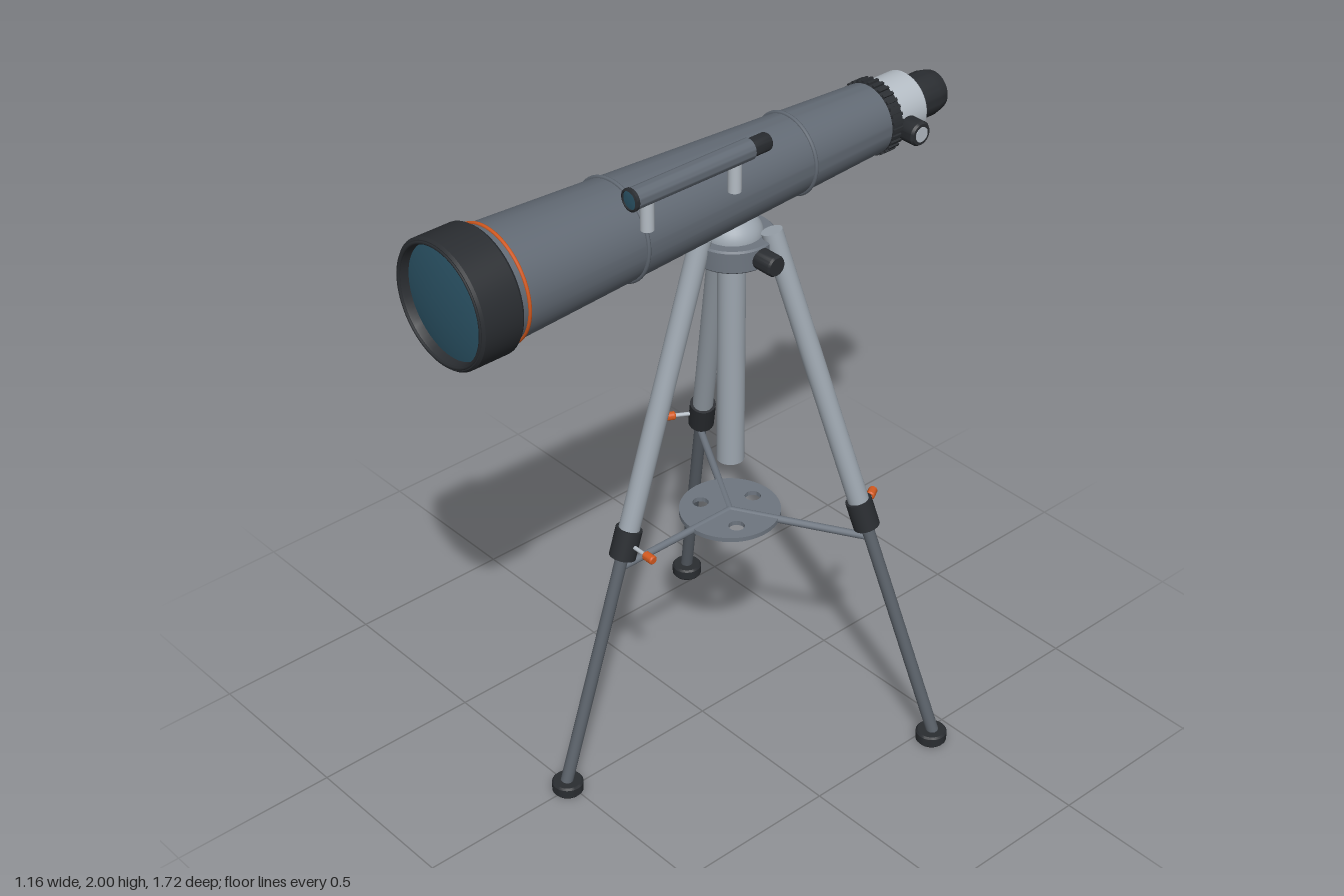
import * as THREE from 'three';
import { toCreasedNormals } from 'three/addons/utils/BufferGeometryUtils.js';

const mat = (color) => new THREE.MeshStandardMaterial({ color });
const M = {
  tube: mat(0x626a74), black: mat(0x2a2d31), silver: mat(0xb4bcc4), leg: mat(0x9da6af),
  lower: mat(0x5b626a), mount: mat(0x6e7680), orange: mat(0xd2591f), glass: mat(0x2c5568),
};
const AXIS_Y = 1.761, PIVOT_Z = -0.105;

export function createModel() {
  const model = new THREE.Group();

  const add = (parent, name, geometry, material, x = 0, y = 0, z = 0) => {
    const mesh = new THREE.Mesh(geometry, material);
    mesh.name = name;
    mesh.position.set(x, y, z);
    parent.add(mesh);
    return mesh;
  };
  const group = (name, parent = model) => {
    const g = new THREE.Group();
    g.name = name;
    parent.add(g);
    return g;
  };
  // Turned part from [radius, height] pairs, listed bottom to top
  const turned = (points, segments = 48) => toCreasedNormals(
    new THREE.LatheGeometry(points.map(([r, h]) => new THREE.Vector2(r, h)), segments), 0.6);
  const turnedZ = (points, segments) => turned(points, segments).rotateX(Math.PI / 2);
  const turnedX = (points, segments) => turned(points, segments).rotateZ(-Math.PI / 2);
  // Straight round bar between two points
  const rod = (parent, name, a, b, radius, material, segments = 24) => {
    const dir = b.clone().sub(a);
    const mesh = add(parent, name, new THREE.CylinderGeometry(radius, radius, dir.length(), segments), material);
    mesh.position.copy(a).addScaledVector(dir, 0.5);
    mesh.quaternion.setFromUnitVectors(new THREE.Vector3(0, 1, 0), dir.normalize());
    return mesh;
  };
  const V = (x, y, z) => new THREE.Vector3(x, y, z);

  // Optical tube, lying along z
  const optics = group('opticalTube');
  optics.position.y = AXIS_Y;
  const tubeRadius = (z) => 0.1 + (z + 0.6) * 0.0435;
  add(optics, 'mainTube', turnedZ([[0, -0.6], [tubeRadius(-0.6), -0.6], [tubeRadius(0.74), 0.74], [0, 0.74]], 64), M.tube);
  add(optics, 'dewCap', turnedZ([[0.13, 0.728], [0.17, 0.728], [0.176, 0.736], [0.176, 0.85], [0.17, 0.857],
    [0.16, 0.857], [0.156, 0.85], [0.156, 0.8]], 64), M.black);
  add(optics, 'lensRing', new THREE.TorusGeometry(0.163, 0.005, 8, 64), M.black, 0, 0, 0.855);
  add(optics, 'objectiveLens', turnedZ([[0.157, 0.83], [0.12, 0.837], [0.06, 0.842], [0, 0.844]], 64), M.glass);
  for (const z of [0.305, -0.3])
    add(optics, 'tubeBand', new THREE.TorusGeometry(tubeRadius(z) + 0.001, 0.006, 8, 64), M.tube, 0, 0, z);
  add(optics, 'accentBand', new THREE.TorusGeometry(tubeRadius(0.7) + 0.001, 0.005, 8, 64), M.orange, 0, 0, 0.7);

  // Focuser with ribbed collar, side knobs and eyepiece
  const focuser = group('focuser', optics);
  add(focuser, 'collar', turnedZ([[0, -0.637], [0.101, -0.637], [0.101, -0.597], [0, -0.597]]), M.black);
  for (let i = 0; i < 32; i++) {
    const a = i / 32 * Math.PI * 2;
    const rib = add(focuser, 'collarRib', new THREE.BoxGeometry(0.012, 0.009, 0.038), M.black,
      0.101 * Math.cos(a), 0.101 * Math.sin(a), -0.617);
    rib.rotation.z = a;
  }
  add(focuser, 'focuserBody', turnedZ([[0, -0.742], [0.088, -0.742], [0.093, -0.736], [0.093, -0.63], [0, -0.63]]), M.silver);
  rod(focuser, 'knobAxle', V(-0.12, -0.016, -0.664), V(0.12, -0.016, -0.664), 0.012, M.silver);
  for (const side of [1, -1]) {
    const knob = group('focusKnob', focuser);
    knob.position.set(0, -0.016, -0.664);
    knob.rotation.y = side > 0 ? 0 : Math.PI;
    add(knob, 'knobGrip', turnedX([[0, 0.09], [0.034, 0.09], [0.036, 0.095], [0.036, 0.138], [0.031, 0.145], [0, 0.145]], 24), M.black);
    add(knob, 'knobCap', turnedX([[0.022, 0.14], [0.022, 0.147], [0, 0.147]], 24), M.silver);
  }
  add(focuser, 'eyepiece', turnedZ([[0.044, -0.85], [0.046, -0.857], [0.056, -0.857], [0.06, -0.845], [0.065, -0.82],
    [0.065, -0.735], [0, -0.735]]), M.black);
  add(focuser, 'eyepieceLens', turnedZ([[0, -0.855], [0.046, -0.852]]), M.glass);

  // Finder scope on two posts
  const finder = group('finderScope');
  finder.position.set(0.202, 1.973, 0);
  add(finder, 'finderTube', turnedZ([[0, 0.025], [0.029, 0.025], [0.029, 0.41], [0, 0.41]], 32), M.tube);
  add(finder, 'finderRim', turnedZ([[0.029, 0.408], [0.031, 0.41], [0.031, 0.418], [0.025, 0.421], [0.025, 0.41]], 32), M.black);
  add(finder, 'finderLens', turnedZ([[0.026, 0.416], [0, 0.419]], 32), M.glass);
  add(finder, 'finderEyepiece', turnedZ([[0, -0.037], [0.022, -0.037], [0.025, -0.032], [0.025, 0.027]], 32), M.black);
  for (const z of [0.335, 0.043])
    rod(finder, 'finderPost', V(-0.032, -0.127, z), V(-0.032, -0.01, z), 0.018, M.silver);

  // Mount head and centre column
  const stand = group('tripod');
  stand.position.z = PIVOT_Z;
  add(stand, 'mountPlate', turned([[0, 1.533], [0.112, 1.533], [0.117, 1.538], [0.117, 1.595], [0.112, 1.6], [0, 1.6]]), M.mount);
  add(stand, 'mountSaddle', new THREE.SphereGeometry(0.085, 40, 12, 0, Math.PI * 2, 0, Math.PI / 2).scale(1, 0.8, 1), M.leg, 0, 1.595, 0);
  add(stand, 'lockKnob', turnedX([[0, 0.1], [0.03, 0.1], [0.03, 0.17], [0.026, 0.176], [0, 0.176]], 24), M.black, 0, 1.565, 0);
  rod(stand, 'centreColumn', V(0, 0.868, 0), V(0, 1.54, 0), 0.039, M.leg, 32);

  // Three identical legs, one facing forward
  const foot = V(0, 0.045, 0.62), top = V(0, 1.62, 0.11);
  const along = (y) => foot.clone().lerp(top, (y - foot.y) / (top.y - foot.y));
  for (let i = 0; i < 3; i++) {
    const leg = group('leg', stand);
    leg.rotation.y = i * Math.PI * 2 / 3;
    rod(leg, 'upperLeg', along(0.77), top, 0.03, M.leg);
    rod(leg, 'lowerLeg', along(0.035), along(0.78), 0.018, M.lower);
    rod(leg, 'legClamp', along(0.722), along(0.805), 0.038, M.black);
    add(leg, 'footPad', turned([[0, 0], [0.04, 0], [0.045, 0.006], [0.045, 0.032], [0.04, 0.038], [0, 0.038]], 32), M.black, 0, 0, 0.62);
    const c = along(0.765);
    rod(leg, 'screwShaft', c, V(0.09, c.y, c.z), 0.006, M.silver, 12);
    add(leg, 'thumbScrew', turnedX([[0, 0.08], [0.01, 0.08], [0.013, 0.084], [0.013, 0.113], [0.01, 0.117], [0, 0.117]], 16), M.orange, 0, c.y, c.z);
    rod(leg, 'spreaderArm', V(0, 0.686, 0), along(0.686), 0.011, M.mount, 12);
  }

  // Accessory tray with three holes between the arms
  const plate = new THREE.Shape().absarc(0, 0, 0.145, 0, Math.PI * 2);
  for (let i = 0; i < 3; i++) {
    const a = Math.PI / 2 + i * Math.PI * 2 / 3;
    plate.holes.push(new THREE.Path().absarc(0.088 * Math.cos(a), 0.088 * Math.sin(a), 0.023, 0, Math.PI * 2, true));
  }
  add(stand, 'accessoryTray', toCreasedNormals(new THREE.ExtrudeGeometry(plate,
    { depth: 0.014, bevelEnabled: false, curveSegments: 40 }).rotateX(-Math.PI / 2), 0.6), M.mount, 0, 0.679, 0);

  return model;
}
